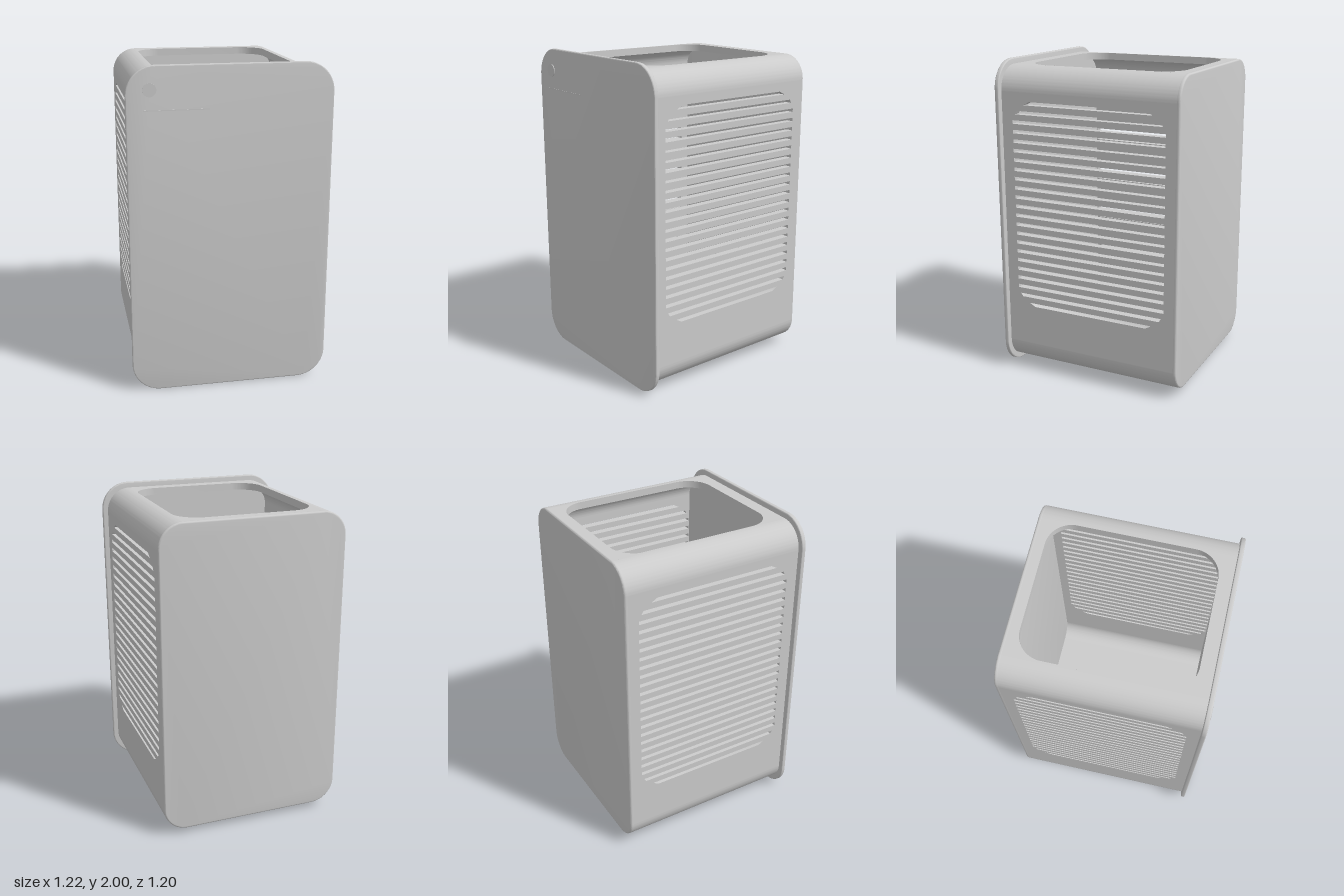
import * as THREE from 'three';
import { toCreasedNormals } from 'three/addons/utils/BufferGeometryUtils.js';

const material = new THREE.MeshStandardMaterial({ color: 0xcccccc });

// Body extents
const HALF_W = 0.577, BOTTOM = 0.036, TOP = 1.965, BACK = -0.6, FRONT = 0.57;
const RADIUS = 0.15, WALL = 0.045, WALL_BACK = -0.58;
const DEPTH = FRONT - WALL_BACK;

function roundedRect(path, x0, y0, x1, y1, r) {
  path.moveTo(x0 + r, y0);
  path.lineTo(x1 - r, y0);
  path.absarc(x1 - r, y0 + r, r, -Math.PI / 2, 0);
  path.lineTo(x1, y1 - r);
  path.absarc(x1 - r, y1 - r, r, 0, Math.PI / 2);
  path.lineTo(x0 + r, y1);
  path.absarc(x0 + r, y1 - r, r, Math.PI / 2, Math.PI);
  path.lineTo(x0, y0 + r);
  path.absarc(x0 + r, y0 + r, r, Math.PI, Math.PI * 1.5);
  return path;
}

function polygon(PathType, points) {
  return new PathType(points.map(([x, y]) => new THREE.Vector2(x, y)));
}

function extrude(shape, depth, bevel = 0) {
  return new THREE.ExtrudeGeometry(shape, {
    depth: depth - 2 * bevel, curveSegments: 16,
    bevelEnabled: bevel > 0, bevelSize: bevel, bevelThickness: bevel, bevelSegments: 3,
  }).translate(0, 0, bevel);
}

function addMesh(group, name, geometry) {
  const mesh = new THREE.Mesh(toCreasedNormals(geometry, 0.6), material);
  mesh.name = name;
  group.add(mesh);
  return mesh;
}

// Rounded panel standing in the xy plane, with softened edges
function panel(halfW, y0, y1, r, z, depth, bevel) {
  const shape = roundedRect(new THREE.Shape(), -halfW + bevel, y0 + bevel, halfW - bevel, y1 - bevel, r - bevel);
  return extrude(shape, depth, bevel).translate(0, 0, z);
}

// Flat side wall drawn in z and y, pierced by a stack of ventilation slots
function sideWall() {
  const y0 = BOTTOM + RADIUS, y1 = TOP - RADIUS;
  const shape = polygon(THREE.Shape, [[WALL_BACK, y0], [FRONT, y0], [FRONT, y1], [WALL_BACK, y1]]);
  const count = 23, mid = -0.01, h = 0.011;
  for (let i = 0; i < count; i++) {
    const y = 0.453 + i * (1.296 / (count - 1));
    const fromEnd = Math.min(i, count - 1 - i);
    const [inner, outer] = [[0.425, 0.385], [0.488, 0.475]][fromEnd] || [0.505, 0.505];
    const low = i < count / 2 ? outer : inner, high = i < count / 2 ? inner : outer;
    shape.holes.push(polygon(THREE.Path, [
      [mid - low, y - h], [mid - high, y + h], [mid + high, y + h], [mid + low, y - h],
    ]));
  }
  return extrude(shape, WALL).rotateY(-Math.PI / 2);
}

// Horizontal wall between the rounded edges, drawn in x and z
function flatWall(topY, withOpening) {
  const w = HALF_W - RADIUS + 0.001;
  const shape = polygon(THREE.Shape, [[-w, WALL_BACK], [w, WALL_BACK], [w, FRONT], [-w, FRONT]]);
  if (withOpening) shape.holes.push(roundedRect(new THREE.Path(), -0.425, -0.52, 0.425, 0.485, 0.155));
  return extrude(shape, WALL).rotateX(Math.PI / 2).translate(0, topY, 0);
}

// Quarter-round long edge
function roundedEdge(sx, top) {
  const start = [[Math.PI, 1.5 * Math.PI], [1.5 * Math.PI, 2 * Math.PI], [Math.PI / 2, Math.PI], [0, Math.PI / 2]];
  const [a, b] = start[(top ? 2 : 0) + (sx > 0 ? 1 : 0)];
  const cx = sx * (HALF_W - RADIUS), cy = top ? TOP - RADIUS : BOTTOM + RADIUS;
  const shape = new THREE.Shape();
  shape.absarc(cx, cy, RADIUS, a, b, false);
  shape.absarc(cx, cy, RADIUS - WALL, b, a, true);
  return extrude(shape, DEPTH).translate(0, 0, WALL_BACK);
}

export function createModel() {
  const model = new THREE.Group();
  model.name = 'ventilatedBin';

  // Hollow body
  const body = new THREE.Group();
  body.name = 'body';
  model.add(body);
  addMesh(body, 'leftWall', sideWall().translate(HALF_W, 0, 0));
  addMesh(body, 'rightWall', sideWall().translate(-HALF_W + WALL, 0, 0));
  addMesh(body, 'topRim', flatWall(TOP, true));
  addMesh(body, 'floor', flatWall(BOTTOM + WALL, false));
  for (const sx of [-1, 1]) {
    addMesh(body, sx > 0 ? 'leftTopEdge' : 'rightTopEdge', roundedEdge(sx, true));
    addMesh(body, sx > 0 ? 'leftBottomEdge' : 'rightBottomEdge', roundedEdge(sx, false));
  }
  addMesh(body, 'backPanel', panel(HALF_W, BOTTOM, TOP, RADIUS, BACK, 0.03, 0.01));
  addMesh(body, 'innerFrontPanel', panel(HALF_W - 0.02, BOTTOM + 0.02, TOP - 0.02, RADIUS - 0.02, 0.5, 0.07, 0));

  // Overhanging front plate with its button and thin accent line
  addMesh(model, 'frontPlate', panel(0.61, 0, 2, 0.175, 0.567, 0.028, 0.006));
  const button = new THREE.CylinderGeometry(0.04, 0.04, 0.012, 40).rotateX(Math.PI / 2);
  addMesh(model, 'button', button.translate(-0.473, 1.863, 0.594));
  const line = new THREE.BoxGeometry(0.38, 0.006, 0.004);
  addMesh(model, 'accentLine', line.translate(-0.32, 1.745, 0.595));

  return model;
}
